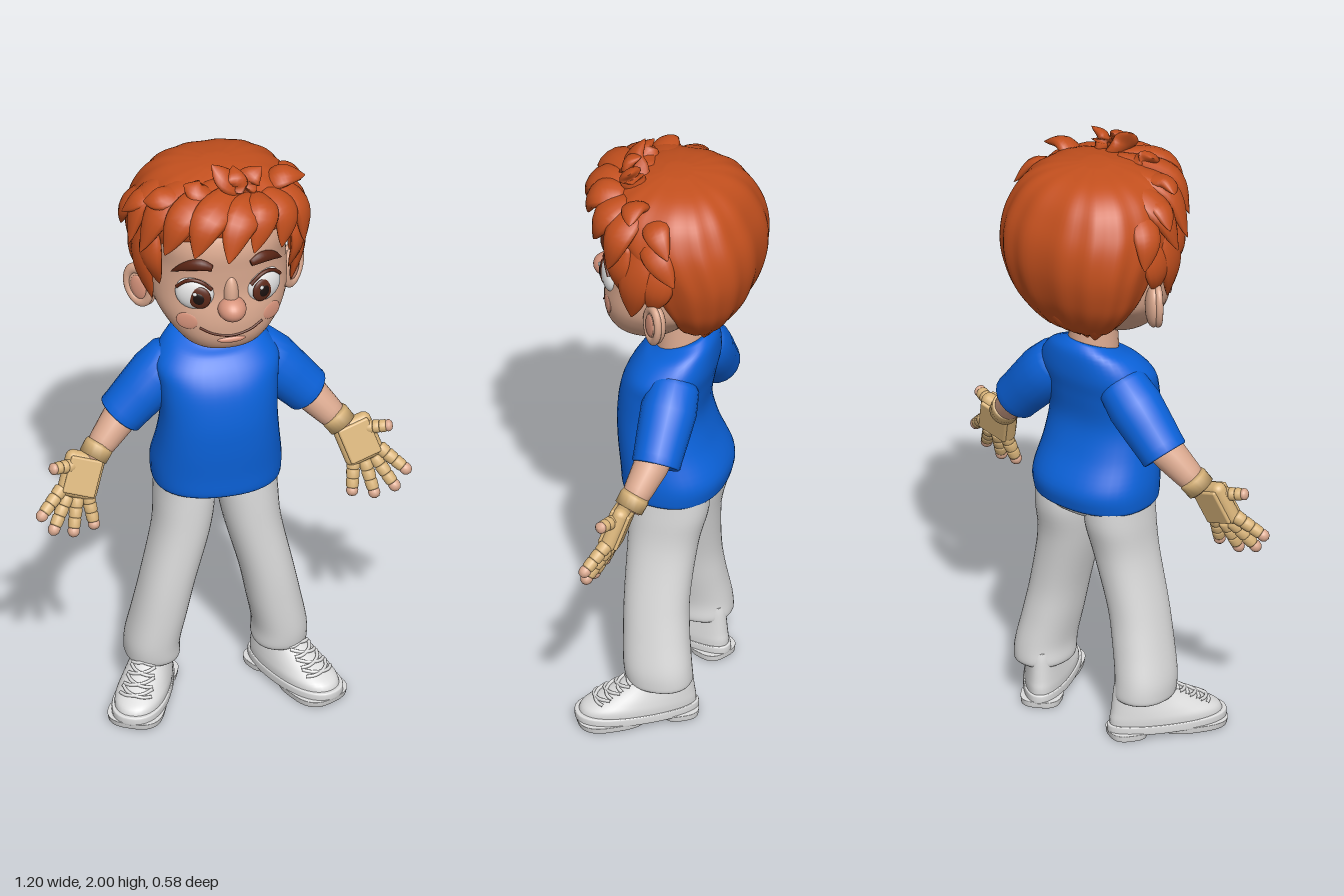
import * as THREE from 'three';
import { RoundedBoxGeometry } from 'three/addons/geometries/RoundedBoxGeometry.js';

const V = (x, y, z) => new THREE.Vector3(x, y, z);
const paint = (name, color) => Object.assign(new THREE.MeshStandardMaterial({ color }), { name });

// Closed smooth surface through rings of points
function skin(rings) {
  const n = rings[0].length, pos = [], idx = [], last = rings.length - 1;
  rings.forEach(r => r.forEach(p => pos.push(p.x, p.y, p.z)));
  for (let i = 0; i < last; i++) for (let j = 0; j < n; j++) {
    const k = (j + 1) % n, a = i * n + j, b = i * n + k;
    idx.push(a, b, b + n, a, b + n, a + n);
  }
  [rings[0], rings[last]].forEach((r, e) => {
    const c = r.reduce((s, p) => s.add(p), V(0, 0, 0)).divideScalar(n), ci = pos.length / 3, o = e ? last * n : 0;
    pos.push(c.x, c.y, c.z);
    for (let j = 0; j < n; j++) {
      const k = (j + 1) % n;
      e ? idx.push(ci, o + j, o + k) : idx.push(ci, o + k, o + j);
    }
  });
  const g = new THREE.BufferGeometry();
  g.setAttribute('position', new THREE.Float32BufferAttribute(pos, 3));
  g.setIndex(idx);
  g.computeVertexNormals();
  return g;
}

// Point on a body of stacked sections [y, half width, front z, back z, centre x, forward tilt]
function onBody(secs, u, a, pow = 2) {
  const i = Math.min(Math.floor(u), secs.length - 2), t = u - i;
  const at = k => secs[Math.max(0, Math.min(secs.length - 1, k))];
  const f = c => {
    const [p, q, r, s] = [at(i - 1), at(i), at(i + 1), at(i + 2)].map(v => v[c] || 0);
    return q + 0.5 * t * (r - p + t * (2 * p - 5 * q + 4 * r - s + t * (3 * (q - r) + s - p)));
  };
  const e = v => Math.sign(v) * Math.abs(v) ** (2 / pow);
  const cz = (f(2) + f(3)) / 2, dz = (f(2) - f(3)) / 2 * e(Math.cos(a));
  return V(f(4) + f(1) * e(Math.sin(a)), f(0) - f(5) * dz, cz + dz);
}
function loft(secs, pow = 2, seg = 40, warp = p => p) {
  const rings = [], steps = (secs.length - 1) * 5;
  for (let i = 0; i <= steps; i++)
    rings.push(Array.from({ length: seg }, (_, j) => warp(onBody(secs, i / 5, j / seg * Math.PI * 2, pow), j / seg * Math.PI * 2)));
  return skin(rings);
}

// Pointed flat strand lying on the head
const HEAD = V(0, 1.63, -0.02);
function strand(pts, w, flat = 0.5) {
  const curve = new THREE.CatmullRomCurve3(pts), rings = [];
  for (let i = 0; i <= 14; i++) {
    const s = i / 14, p = curve.getPoint(s), t = curve.getTangent(s);
    const n = p.clone().sub(HEAD); n.addScaledVector(t, -n.dot(t)).normalize();
    const b = t.clone().cross(n);
    const r = w * (s < 0.35 ? 0.55 + 0.45 * Math.sin(s / 0.7 * Math.PI) : Math.max(0.02, Math.cos((s - 0.35) / 1.3 * Math.PI)) ** 0.8);
    rings.push(Array.from({ length: 12 }, (_, j) => {
      const a = j / 6 * Math.PI;
      return p.clone().addScaledVector(b, r * Math.sin(a)).addScaledVector(n, r * flat * Math.cos(a));
    }));
  }
  return skin(rings);
}

// Turned limb from a to b with profile [radius, fraction of length]
function limb(a, b, profile) {
  const d = b.clone().sub(a), len = d.length();
  const g = new THREE.LatheGeometry(profile.map(([r, s]) => new THREE.Vector2(r, s * len)), 20);
  return g.applyQuaternion(new THREE.Quaternion().setFromUnitVectors(V(0, 1, 0), d.normalize())).translate(a.x, a.y, a.z);
}
const tube = (pts, r) => new THREE.TubeGeometry(new THREE.CatmullRomCurve3(pts), 24, r, 8);
const ball = (rx, ry, rz) => new THREE.SphereGeometry(1, 28, 20).scale(rx, ry, rz);

const FACE = [[1.342, .06, .13, .01], [1.36, .115, .175, -.03], [1.4, .155, .2, -.08], [1.45, .19, .207, -.13], [1.5, .212, .205, -.18],
  [1.57, .218, .195, -.2], [1.65, .215, .198, -.22], [1.73, .22, .2, -.22], [1.8, .2, .17, -.2], [1.86, .12, .08, -.13]];
function onFace(x, y, out = 0) {
  const i = FACE.findIndex((s, k) => y < FACE[k + 1][0]), a = FACE[i], b = FACE[i + 1];
  const [, rx, zf, zb] = a.map((v, k) => v + (b[k] - v) * (y - a[0]) / (b[0] - a[0]));
  return V(x, y, (zf + zb) / 2 + (zf - zb) / 2 * (1 - Math.abs(x / rx) ** 2.2) ** (1 / 2.2) + out);
}

export function createModel() {
  const model = new THREE.Group();
  const skinTone = paint('skin', 0xdcaa90), blush = paint('blush', 0xd9957d), hair = paint('hair', 0xc4501e), brow = paint('brow', 0x5c2615),
    eyeWhite = paint('eye white', 0xeeeeee), iris = paint('iris', 0x5e2a1a), pupil = paint('pupil', 0x1c1210),
    shirt = paint('shirt', 0x0b63dc), white = paint('white cloth', 0xdcdcdc), glove = paint('glove', 0xd9b47a);
  const add = (name, geo, mat, parent = model) => {
    const m = new THREE.Mesh(geo, mat);
    m.name = name; parent.add(m);
    return m;
  };
  const group = (name, parent = model) => {
    const g = new THREE.Group();
    g.name = name; parent.add(g);
    return g;
  };

  // Head and face
  add('head', loft(FACE, 2.2), skinTone);
  add('neck', new THREE.CylinderGeometry(.073, .085, .2, 28).translate(0, 1.32, -.035), skinTone);
  add('nose', ball(.045, .04, .052).translate(0, 1.525, .204), blush);
  add('noseBridge', ball(.024, .07, .03).translate(0, 1.57, .187), skinTone);
  add('mouth', tube([-.1, -.06, 0, .06, .1].map(x => onFace(x, 1.425 + 3.2 * x * x, .002)), .004), brow);
  add('lowerLip', ball(.045, .012, .012).translate(0, 1.408, .198), blush);

  // Hair: rippled cap, swept locks and sideburns
  add('hairCap', loft([[1.385, .09, -.05, -.14], [1.42, .14, -.03, -.19], [1.5, .205, .0, -.245], [1.57, .237, .04, -.275], [1.65, .258, .08, -.292],
    [1.73, .266, .15, -.29], [1.8, .255, .19, -.268], [1.87, .215, .165, -.225], [1.915, .145, .1, -.16], [1.935, .04, .02, -.06]], 2.4, 96,
    (p, a) => { const k = 1 + .012 * Math.cos(15 * a); p.x *= k; p.z *= k; return p; }), hair);
  const locks = [
    [.10, 1.87, .12, .02, 1.86, .23, -.03, 1.75, .288, .06], [.05, 1.9, .1, -.08, 1.87, .22, -.13, 1.76, .25, .06],
    [0, 1.91, .08, -.15, 1.86, .17, -.21, 1.74, .18, .06], [-.05, 1.91, .02, -.2, 1.85, .09, -.27, 1.71, .1, .06],
    [.1, 1.88, .12, .1, 1.86, .21, .06, 1.755, .255, .055], [.13, 1.88, .1, .18, 1.83, .165, .16, 1.73, .205, .055],
    [.15, 1.88, .06, .24, 1.81, .1, .25, 1.69, .13, .055], [-.1, 1.9, -.03, -.24, 1.83, 0, -.29, 1.7, .03, .055]];
  const tufts = [
    [.06, 1.87, .08, 0, 1.95, .12, -.04, 2, .1, .045], [.08, 1.88, .08, .08, 1.94, .11, .12, 1.97, .1, .042],
    [-.04, 1.89, .08, -.09, 1.92, .12, -.13, 1.94, .1, .045], [-.1, 1.88, .05, -.2, 1.885, .08, -.25, 1.87, .06, .045],
    [-.15, 1.85, 0, -.245, 1.84, 0, -.3, 1.79, -.02, .045], [.14, 1.87, .05, .2, 1.9, .06, .27, 1.885, .05, .045],
    [.02, 1.89, .1, .03, 1.95, .13, .03, 1.98, .09, .04], [.16, 1.85, 0, .24, 1.85, -.03, .285, 1.79, -.08, .045],
    [.18, 1.82, .02, .26, 1.77, -.04, .285, 1.69, -.1, .05], [-.2, 1.84, -.05, -.265, 1.77, -.09, -.28, 1.68, -.12, .05]];
  const lock = (name, [a, b, c, d, e, f, g, h, i, w], s = 1, flat = .5) =>
    add(name, strand([V(a * s, b, c), V(d * s, e, f), V(g * s, h, i)], w, flat), hair);
  locks.forEach(l => lock('fringeLock', l));
  tufts.forEach(l => lock('tuft', l));
  for (let k = -3; k <= 3; k++) lock('napeLock', [k * .045, 1.5, -.225 + Math.abs(k) * .012, k * .038, 1.44, -.19 + Math.abs(k) * .01, k * .03, 1.38, -.135, .032]);

  // Shirt with a sloping neckline
  add('shirtBody', loft([[.775, .197, .135, -.175], [.79, .203, .145, -.184], [.85, .205, .15, -.188], [.95, .192, .16, -.142], [1.05, .184, .162, -.117],
    [1.15, .19, .148, -.13], [1.22, .195, .118, -.145, 0, .05], [1.28, .15, .08, -.145, 0, .2], [1.305, .098, .05, -.128, 0, .35],
    [1.31, .084, .04, -.118, 0, .38]], 2.3), shirt);

  // Hips
  add('hips', loft([[.725, .07, .05, -.09], [.745, .16, .09, -.14], [.78, .19, .105, -.16], [.84, .19, .105, -.16]], 2.2), white);

  for (const s of [1, -1]) {
    const side = s > 0 ? 'left' : 'right', P = (x, y, z) => V(s * x, y, z);

    // Eye, brow, cheek and ear
    const eye = group(side + 'Eye');
    eye.position.copy(onFace(s * .11, 1.577, -.01));
    eye.rotation.y = s * .4;
    add('eyeball', ball(.062, .06, .03), eyeWhite, eye);
    add('iris', ball(.037, .04, .012).translate(-s * .018, -.006, .021), iris, eye);
    add('pupil', ball(.019, .021, .006).translate(-s * .018, -.006, .0295), pupil, eye);
    add('glint', ball(.007, .007, .004).translate(-s * .018 - .012, .012, .0335), eyeWhite, eye);
    add('upperLid', tube([-1, -.5, 0, .5, 1].map(k => V(k * .056, .022 + .034 * (1 - k * k), .011 + .008 * (1 - k * k))), .006), brow, eye);
    add(side + 'Brow', strand([[.062, 1.682], [.1, 1.692], [.14, 1.678], [.178, 1.64]].map(([x, y]) => onFace(s * x, y, .008)), .019, .6), brow);
    const cheek = add(side + 'Cheek', ball(.036, .03, .006), blush);
    cheek.position.copy(onFace(s * .135, 1.475, -.001));
    cheek.rotation.y = s * .55;
    const ear = group(side + 'Ear');
    ear.position.set(s * .235, 1.505, -.025);
    ear.rotation.set(0, s * .75, -s * .2);
    add('earShell', ball(.05, .075, .026), skinTone, ear);
    add('earRim', new THREE.TorusGeometry(.04, .012, 12, 32).scale(1, 1.5, 1).translate(s * .004, .004, .014), skinTone, ear);
    add('earHollow', ball(.027, .042, .008).translate(0, 0, .021), blush, ear);
    lock('sideburn', [.235, 1.78, .03, .25, 1.64, .045, .222, 1.505, .06, .06], s, .4);
    lock('sideburn', [.23, 1.78, .08, .235, 1.68, .1, .207, 1.58, .095, .05], s, .4);
    lock('sideburn', [.24, 1.74, -.05, .255, 1.64, -.03, .235, 1.55, -.01, .055], s, .4);

    // Sleeve and forearm
    add(side + 'Sleeve', limb(P(.1, 1.235, -.052), P(.302, 1.012, -.047), [[0, 0], [.05, .02], [.08, .15], [.089, .4], [.084, .65], [.078, .9], [.077, .985], [.072, 1], [.055, .985], [0, .97]]), shirt);
    add(side + 'Forearm', limb(P(.27, 1.05, -.047), P(.405, .9, .01), [[0, 0], [.055, 0], [.055, .3], [.047, .65], [.037, 1], [0, 1]]), skinTone);

    // Gloved hand: cuff, plated palm, banded fingers and bare tips
    add(side + 'Cuff', limb(P(.372, .942, -.006), P(.4, .905, .01), [[0, 0], [.044, 0], [.048, .2], [.047, 1], [0, 1]]), glove);
    const palm = group(side + 'Palm');
    palm.position.set(s * .443, .86, .034);
    palm.rotation.set(-.3, 0, s * .32);
    add('palmBody', new RoundedBoxGeometry(.128, .15, .05, 4, .024), glove, palm);
    for (const f of [1, -1])
      add('palmPlate', new RoundedBoxGeometry(.104, .122, .014, 3, .007).translate(0, 0, f * .026), glove, palm);
    const fingers = [[.512, .825, .05, .592, .758, .1], [.495, .795, .055, .552, .703, .106], [.462, .785, .056, .484, .682, .1],
      [.425, .79, .052, .412, .692, .088], [.475, .9, .035, .545, .912, .06]];
    fingers.forEach(([a, b, c, d, e, f], i) => {
      const A = P(a, b, c), B = P(d, e, f), at = t => A.clone().lerp(B, t);
      const f2 = group(side + (i < 4 ? 'Finger' : 'Thumb'));
      for (let k = 0; k < 3; k++)
        add('band', limb(at(k * .28 - .06), at(k * .28 + .23), [[0, 0], [.018, 0], [.0225 - k * .001, .15], [.0215 - k * .001, .85], [.017, 1], [0, 1]]), glove, f2);
      add('fingerCore', limb(at(0), at(.85), [[.016, 0], [.016, 1]]), glove, f2);
      add('fingertip', limb(at(.75), at(1.06), [[.015, 0], [.019, .3], [.0185, .6], [.012, .88], [0, 1]]), skinTone, f2);
    });

    // Trouser leg with a turned cuff
    const leg = [[.13, .082, .07, -.125, .203], [.145, .086, .08, -.132, .203], [.2, .085, .088, -.128, .202], [.3, .085, .095, -.115, .182],
      [.42, .085, .1, -.108, .157], [.6, .09, .102, -.122, .114], [.72, .095, .102, -.15, .1], [.8, .09, .1, -.155, .1]];
    add(side + 'TrouserLeg', loft(leg.map(([y, r, f, b, x]) => [y, r, f, b, x * s]), 2.2), white);

    // Shoe with split sole and crossed laces
    const shoe = group(side + 'Shoe');
    shoe.position.set(s * .2, 0, -.03);
    shoe.rotation.y = s * .5;
    const toe = p => { p.x *= .82 + p.z; return p; };
    const upper = [[.03, .084, .262, -.112], [.06, .085, .25, -.112], [.085, .08, .205, -.108], [.12, .07, .14, -.104], [.155, .062, .085, -.1], [.18, .06, .06, -.095]];
    add('shoeUpper', loft(upper, 2.2, 40, toe), white, shoe);
    add('midsole', loft([[.016, .087, .268, -.116], [.02, .09, .272, -.12], [.04, .09, .272, -.12], [.044, .087, .266, -.116]], 2.3, 40, toe), white, shoe);
    add('frontTread', loft([[0, .082, .262, .05], [.003, .085, .266, .046], [.022, .088, .27, .04]], 2.8, 40, toe), white, shoe);
    add('heel', loft([[0, .08, -.005, -.113], [.003, .083, -.001, -.116], [.022, .086, .004, -.118]], 3, 40, toe), white, shoe);
    for (let k = 0; k < 4; k++) for (const m of [1, -1])
      add('lace', tube([-1, -.5, 0, .5, 1].map(q => {
        const p = toe(onBody(upper, 2 + k * .55 + q * m * .22, q * .62, 2.2));
        p.y += .003; p.z += .003;
        return p;
      }), .0055), white, shoe);
  }
  return model;
}
